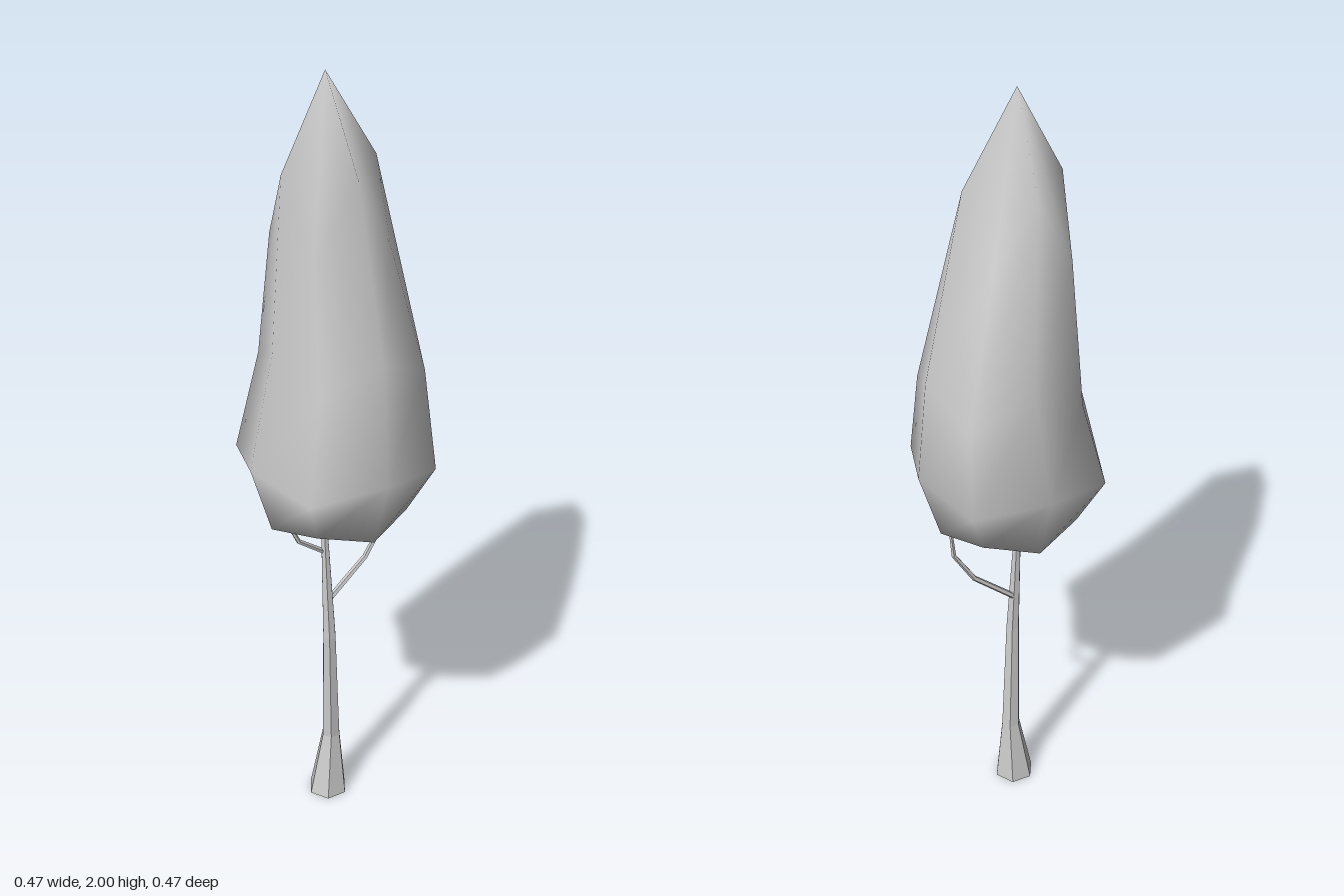
import * as THREE from 'three';

// Skin a stack of rings (bottom to top), closed by an end point below and above.
function loft(rings, bottom, top) {
  const n = rings[0].length;
  const points = [...rings.flat(), bottom, top];
  const low = points.length - 2, high = points.length - 1;
  const last = (rings.length - 1) * n;
  const index = [];
  for (let j = 0; j < n; j++) {
    const k = (j + 1) % n;
    for (let i = 0; i < last; i += n) {
      index.push(i + j, i + n + j, i + k, i + k, i + n + j, i + n + k);
    }
    index.push(low, j, k, high, last + k, last + j);
  }
  const geometry = new THREE.BufferGeometry();
  geometry.setAttribute('position', new THREE.Float32BufferAttribute(points.flat(), 3));
  geometry.setIndex(index);
  geometry.computeVertexNormals();
  return geometry;
}

// Round ring of n points, tilted about z so it can follow a leaning limb.
function ring([x, y, z, r], n, tilt = 0) {
  return Array.from({ length: n }, (_, j) => {
    const a = (j / n) * Math.PI * 2;
    const u = r * Math.cos(a);
    return [x + u * Math.cos(tilt), y + u * Math.sin(tilt), z + r * Math.sin(a)];
  });
}

// Tapered limb through a path of [x, y, z, radius].
function limb(path, sides) {
  const rings = path.map((p, i) => {
    const a = path[Math.max(i - 1, 0)], b = path[Math.min(i + 1, path.length - 1)];
    const tilt = i === 0 && p[1] === 0 ? 0 : -Math.atan2(b[0] - a[0], b[1] - a[1]);
    return ring(p, sides, tilt);
  });
  return loft(rings, path[0].slice(0, 3), path[path.length - 1].slice(0, 3));
}

// Eight-sided crown ring: the diagonal corners have their own height and radius.
function crownRing([x, z, y, r, yDiagonal, rDiagonal]) {
  return Array.from({ length: 8 }, (_, j) => {
    const a = (j / 8) * Math.PI * 2;
    const radius = j % 2 ? rDiagonal : r;
    return [x + radius * Math.cos(a), j % 2 ? yDiagonal : y, z + radius * Math.sin(a)];
  });
}

export function createModel() {
  const group = new THREE.Group();
  group.name = 'tree';
  const leaf = new THREE.MeshStandardMaterial({ color: 0xcccccc });
  const bark = new THREE.MeshStandardMaterial({ color: 0xcccccc, flatShading: true });
  const add = (name, geometry, material) => {
    const mesh = new THREE.Mesh(geometry, material);
    mesh.name = name;
    group.add(mesh);
  };

  // Crown: leaning, bulging teardrop with a pointed tip
  const crown = [
    [0, 0, 0.87, 0.18, 0.895, 0.18],
    [0, 0, 1.05, 0.235, 1.02, 0.25],
    [0.035, -0.03, 1.33, 0.188, 1.26, 0.205],
    [-0.015, 0, 1.78, 0.125, 1.6, 0.142],
  ].map(crownRing);
  add('crown', loft(crown, [0, 0.815, 0], [-0.025, 2, 0]), leaf);

  // Trunk: flared hexagonal foot, slight bend
  add('trunk', limb([
    [-0.0225, 0, 0, 0.0525],
    [-0.012, 0.18, 0, 0.025],
    [-0.022, 0.5, 0.009, 0.018],
    [-0.031, 0.83, 0, 0.009],
    [-0.031, 0.95, 0, 0.007],
  ], 6), bark);

  // Branches reaching into the crown
  add('leftBranch', limb([
    [-0.02, 0.605, 0, 0.008],
    [0.09, 0.7, 0, 0.007],
    [0.146, 0.79, 0, 0.006],
    [0.157, 0.9, 0, 0.004],
  ], 5), bark);
  add('rightBranch', limb([
    [-0.03, 0.755, 0, 0.007],
    [-0.105, 0.81, 0, 0.006],
    [-0.14, 0.88, 0, 0.004],
  ], 5), bark);

  return group;
}
